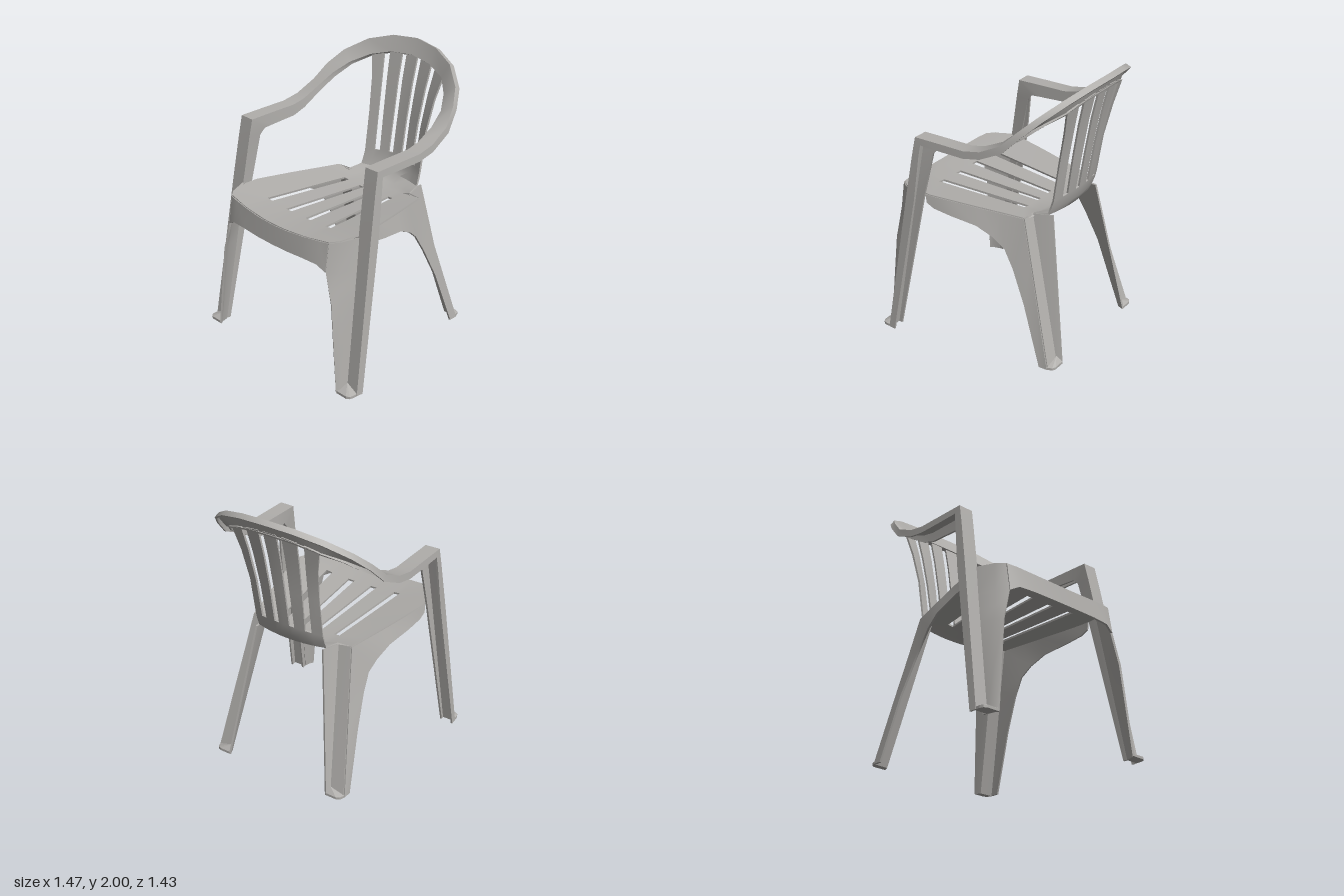
import * as THREE from 'three';
import { toCreasedNormals } from 'three/addons/utils/BufferGeometryUtils.js';
import { ConvexGeometry } from 'three/addons/geometries/ConvexGeometry.js';

const plastic = new THREE.MeshStandardMaterial({ color: 0xb0aeab, side: THREE.DoubleSide });
plastic.name = 'greyPlastic';

const V = (x, y, z) => new THREE.Vector3(x, y, z);
const flip = (p) => V(-p.x, p.y, p.z);

// Moulded sheet of even thickness through a grid of points; cells where keep() is false stay open.
function sheet(name, grid, keep = () => true, thick = 0.014) {
  const R = grid.length, C = grid[0].length, pos = [];
  const sides = [1, -1].map((s) => grid.map((row, r) => row.map((p, c) => {
    const du = row[Math.min(c + 1, C - 1)].clone().sub(row[Math.max(c - 1, 0)]);
    const dv = grid[Math.min(r + 1, R - 1)][c].clone().sub(grid[Math.max(r - 1, 0)][c]);
    return du.cross(dv).normalize().multiplyScalar(s * thick / 2).add(p);
  })));
  const [top, low] = sides;
  const quad = (a, b, c, d) => [a, b, c, a, c, d].forEach((p) => pos.push(p.x, p.y, p.z));
  const solid = (r, c) => r >= 0 && c >= 0 && r < R - 1 && c < C - 1 && keep(r, c);
  for (let r = 0; r < R - 1; r++) for (let c = 0; c < C - 1; c++) {
    if (!solid(r, c)) continue;
    const k = [[r, c], [r, c + 1], [r + 1, c + 1], [r + 1, c]];
    const t = k.map(([i, j]) => top[i][j]), l = k.map(([i, j]) => low[i][j]);
    quad(...t);
    quad(l[3], l[2], l[1], l[0]);
    const next = [[r - 1, c], [r, c + 1], [r + 1, c], [r, c - 1]];
    next.forEach(([i, j], e) => {
      const f = (e + 1) % 4;
      if (!solid(i, j)) quad(t[f], t[e], l[e], l[f]);
    });
  }
  const g = new THREE.BufferGeometry();
  g.setAttribute('position', new THREE.Float32BufferAttribute(pos, 3));
  const mesh = new THREE.Mesh(toCreasedNormals(g, 0.6), plastic);
  mesh.name = name;
  return mesh;
}

// Continue rows that end on the centre line with their mirror image.
const mirrored = (rows) => [...rows, ...rows.slice(0, -1).reverse().map((row) => row.map(flip))];

// Seat and backrest in one sweep: centre z, y; edge z, y; slot edges; half width
function seatAndBack() {
  const seat = [
    [0.69, 1.03, 0.645, 1.06, 0.075, 0.125, 0.275, 0.325, 0.48],
    [0.62, 1.03, 0.59, 1.065, 0.073, 0.123, 0.272, 0.322, 0.527],
    [0.47, 1.02, 0.47, 1.07, 0.07, 0.12, 0.265, 0.315, 0.55],
    [0.36, 1.015, 0.36, 1.065, 0.066, 0.114, 0.254, 0.303, 0.555],
    [0.08, 1.0, 0.08, 1.047, 0.056, 0.1, 0.225, 0.272, 0.492],
    [-0.2, 0.985, -0.19, 1.028, 0.045, 0.085, 0.195, 0.24, 0.425],
    [-0.31, 0.985, -0.3, 1.02, 0.043, 0.083, 0.185, 0.23, 0.4],
    [-0.38, 0.995, -0.31, 1.02, 0.042, 0.082, 0.175, 0.22, 0.3],
  ];
  const back = [
    [-0.45, 1.035, -0.41, 1.035, 0.04, 0.08, 0.16, 0.205, 0.275],
    [-0.482, 1.09, -0.43, 1.09, 0.04, 0.08, 0.157, 0.202, 0.272],
    [-0.5, 1.17, -0.445, 1.14, 0.04, 0.08, 0.155, 0.2, 0.27],
    [-0.545, 1.45, -0.49, 1.43, 0.042, 0.08, 0.165, 0.207, 0.275],
    [-0.59, 1.7, -0.54, 1.66, 0.046, 0.086, 0.18, 0.223, 0.3],
    [-0.637, 1.9, -0.58, 1.83, 0.05, 0.09, 0.195, 0.243, 0.338],
  ];
  const grid = [...seat, ...back].map(([zc, yc, ze, ye, ...xs]) => {
    const w = xs[4];
    return [...xs.map((x) => -x).reverse(), 0, ...xs].map((x) => {
      const k = (x / w) ** 2;
      return V(x, yc + (ye - yc) * k, zc + (ze - zc) * k);
    });
  });
  const slots = [1, 3, 6, 8];
  return sheet('slottedSeatAndBack', grid, (r, c) => !(slots.includes(c) && ((r >= 2 && r < 5) || r >= 10)));
}

// Posts, armrests and back hoop: one channel. Each station: inner edge, outer edge.
function armFrame() {
  const post = [
    [0.635, 0, 0.635, 0.73, 0, 0.635],
    [0.578, 1.07, 0.465, 0.678, 1.07, 0.465],
    [0.562, 1.4, 0.408, 0.662, 1.4, 0.408],
  ];
  const postLips = [[0.035, 0.045], [0.075, 0.065], [0.095, 0.05]];
  const rows = post.map(([a, b, c, d, e, f], i) =>
    [V(a, b, c - postLips[i][0]), V(a, b, c), V(d, e, f), V(d, e, f - postLips[i][1])]);
  rows.push([V(0.555, 1.44, 0.275), V(0.555, 1.53, 0.385), V(0.655, 1.53, 0.385), V(0.655, 1.487, 0.345)]);
  // the last four numbers are the drop and setback of the inner and outer lips
  const rail = [
    [0.555, 1.53, 0.2, 0.655, 1.53, 0.2, 0.085, 0, 0.045, 0],
    [0.555, 1.53, 0, 0.655, 1.53, 0, 0.075, 0, 0.045, 0],
    [0.553, 1.55, -0.1, 0.65, 1.555, -0.13, 0.06, 0, 0.045, 0],
    [0.545, 1.615, -0.24, 0.635, 1.63, -0.28, 0.04, 0, 0.04, 0.015],
    [0.52, 1.69, -0.36, 0.6, 1.735, -0.385, 0.03, 0.01, 0.025, 0.025],
    [0.45, 1.765, -0.465, 0.53, 1.83, -0.485, 0.015, 0.015, 0.02, 0.03],
    [0.34, 1.828, -0.565, 0.385, 1.925, -0.59, 0.008, 0.018, 0.02, 0.03],
    [0.18, 1.875, -0.612, 0.2, 1.98, -0.655, 0.006, 0.018, 0.02, 0.03],
    [0, 1.89, -0.632, 0, 1.998, -0.68, 0.006, 0.018, 0.02, 0.03],
  ];
  for (const [a, b, c, d, e, f, gi, si, go, so] of rail) {
    rows.push([V(a, b - gi, c - si), V(a, b, c), V(d, e, f), V(d, e - go, f - so)]);
  }
  return sheet('armrestFrame', mirrored(rows));
}

// Curved apron below the front edge: x, top y, z, bottom y, z
function frontApron() {
  const rows = [
    [0.48, 1.06, 0.645, 0.86, 0.675],
    [0.41, 1.055, 0.66, 0.898, 0.69],
    [0.28, 1.043, 0.676, 0.9, 0.7],
    [0.14, 1.034, 0.687, 0.896, 0.708],
    [0, 1.03, 0.69, 0.895, 0.71],
  ].map(([x, yt, zt, yb, zb]) => [V(x, yt, zt), V(x, yb, zb)]);
  return sheet('frontApron', mirrored(rows));
}

// Front leg side: front edge, rounded corner, crease against the post
const frontLegRows = [
  [V(0.48, 1.06, 0.645), V(0.527, 1.065, 0.59), V(0.575, 1.07, 0.465)],
  [V(0.48, 0.86, 0.675), V(0.542, 0.86, 0.61), V(0.589, 0.86, 0.498)],
  [V(0.512, 0.74, 0.68), V(0.555, 0.74, 0.62), V(0.596, 0.74, 0.517)],
  [V(0.54, 0.64, 0.685), V(0.57, 0.64, 0.63), V(0.601, 0.64, 0.533)],
  [V(0.572, 0.32, 0.698), V(0.598, 0.32, 0.66), V(0.618, 0.32, 0.584)],
  [V(0.605, 0, 0.71), V(0.622, 0, 0.69), V(0.635, 0, 0.635)],
];

// Rear leg angle: outer edge, crease, back edge
const rearLegRows = [
  [V(0.4, 1.02, -0.3), V(0.3, 1.02, -0.305), V(0.272, 1.035, -0.45)],
  [V(0.535, 0, -0.585), V(0.43, 0, -0.59), V(0.415, 0, -0.632)],
];

// Side apron sweeping into the rear leg: top edge, arched lower edge
const sideRows = [
  [V(0.555, 1.067, 0.4), V(0.562, 1.01, 0.385)],
  [V(0.547, 1.063, 0.33), V(0.558, 0.98, 0.33)],
  [V(0.52, 1.055, 0.2), V(0.543, 0.955, 0.2)],
  [V(0.473, 1.04, 0), V(0.51, 0.922, 0.01)],
  [V(0.438, 1.03, -0.14), V(0.485, 0.86, -0.11)],
  [V(0.4, 1.02, -0.3), V(0.468, 0.79, -0.19)],
  [V(0.439, 0.72, -0.383), V(0.476, 0.66, -0.265)],
  [V(0.476, 0.45, -0.459), V(0.5, 0.43, -0.37)],
  [V(0.535, 0, -0.585), V(0.535, 0, -0.52)],
];

// Solid toe filling the hollow of a leg: ridge point above a flat outline
function toe(name, ridge, outline) {
  const pts = [ridge, ...outline.flatMap(([x, z]) => [V(x, 0, z), V(x, 0.018, z)])];
  const mesh = new THREE.Mesh(new ConvexGeometry(pts), plastic);
  mesh.name = name;
  return mesh;
}

export function createModel() {
  const chair = new THREE.Group();
  chair.name = 'armchair';
  chair.add(seatAndBack(), armFrame(), frontApron());
  for (const s of [1, -1]) {
    const side = s > 0 ? 'left' : 'right';
    const m = (rows) => (s > 0 ? rows : rows.map((row) => row.map(flip)));
    const out = (pts) => pts.map(([x, z]) => [s * x, z]);
    chair.add(
      sheet(side + 'FrontLeg', m(frontLegRows)),
      sheet(side + 'RearLeg', m(rearLegRows)),
      sheet(side + 'SideApron', m(sideRows)),
      toe(side + 'FrontToe', V(s * 0.635, 0.06, 0.632),
        out([[0.605, 0.71], [0.7, 0.71], [0.722, 0.695], [0.73, 0.67], [0.73, 0.63], [0.635, 0.63]])),
      toe(side + 'RearToe', V(s * 0.43, 0.055, -0.592),
        out([[0.415, -0.632], [0.5, -0.632], [0.525, -0.62], [0.538, -0.585], [0.43, -0.585]])),
    );
  }
  return chair;
}
